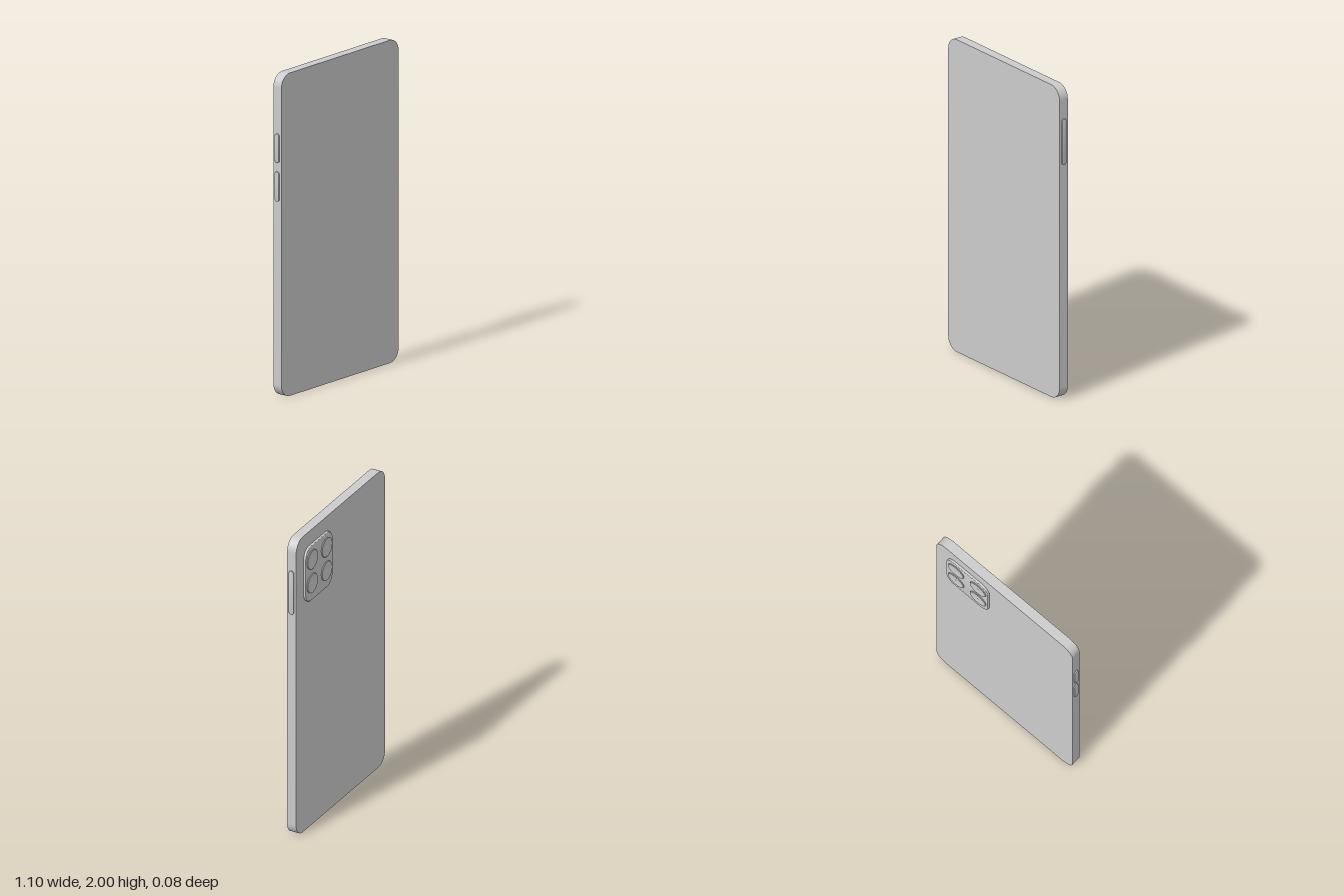
import * as THREE from 'three';
import { toCreasedNormals } from 'three/addons/utils/BufferGeometryUtils.js';

const material = new THREE.MeshStandardMaterial({ color: 0xcccccc });

function roundedRect(w, h, r) {
  const s = new THREE.Shape(), x = w / 2, y = h / 2;
  s.absarc(x - r, y - r, r, 0, Math.PI / 2);
  s.absarc(-x + r, y - r, r, Math.PI / 2, Math.PI);
  s.absarc(-x + r, -y + r, r, Math.PI, Math.PI * 1.5);
  s.absarc(x - r, -y + r, r, Math.PI * 1.5, Math.PI * 2);
  s.closePath();
  return s;
}

// Rounded slab of full size w x h x depth, starting at z = 0, with bevelled edges
function slab(name, w, h, r, depth, bevel = 0) {
  const geometry = new THREE.ExtrudeGeometry(roundedRect(w, h, r), {
    depth: depth - 2 * bevel,
    curveSegments: 12,
    bevelEnabled: bevel > 0,
    bevelThickness: bevel,
    bevelSize: bevel,
    bevelOffset: -bevel,
    bevelSegments: 3,
  });
  geometry.translate(0, 0, bevel);
  const mesh = new THREE.Mesh(toCreasedNormals(geometry, 0.6), material);
  mesh.name = name;
  return mesh;
}

export function createModel() {
  const phone = new THREE.Group();
  phone.name = 'phone';

  // Flat body with rounded corners
  const body = slab('body', 1.08, 2, 0.08, 0.062);
  body.position.set(0, 1, -0.021);
  phone.add(body);

  // Camera plate on the back
  const plate = slab('cameraPlate', 0.33, 0.37, 0.07, 0.019, 0.004);
  plate.position.set(0.285, 1.72, -0.035);
  phone.add(plate);

  // Four lenses: thin rim, shallow dish and a small central bead
  const dish = [[0.063, 0], [0.063, 0.005], [0.061, 0.0065], [0.057, 0.0065],
    [0.04, 0.004], [0.02, 0.0022], [0.008, 0.0018]];
  const bead = [[0.008, 0.0018], [0.006, 0.0035], [0.003, 0.0045], [0, 0.0048]];
  const lathe = (points) => toCreasedNormals(
    new THREE.LatheGeometry(points.map(([r, y]) => new THREE.Vector2(r, y)), 40), 0.6);
  const dishGeometry = lathe(dish), beadGeometry = lathe(bead);
  for (const x of [0.197, 0.372]) {
    for (const y of [1.65, 1.81]) {
      const lens = new THREE.Group();
      lens.name = 'cameraLens';
      const ring = new THREE.Mesh(dishGeometry, material);
      ring.name = 'lensDish';
      const centre = new THREE.Mesh(beadGeometry, material);
      centre.name = 'lensBead';
      lens.add(ring, centre);
      lens.rotation.x = -Math.PI / 2;
      lens.position.set(x, y, -0.0348);
      phone.add(lens);
    }
  }

  // Side buttons: [name, side, bottom, top]
  const buttons = [
    ['powerButton', 1, 1.505, 1.8],
    ['volumeUpButton', -1, 1.455, 1.635],
    ['volumeDownButton', -1, 1.215, 1.4],
  ];
  for (const [name, side, bottom, top] of buttons) {
    const button = slab(name, 0.032, top - bottom, 0.0155, 0.018, 0.002);
    button.rotation.y = side * Math.PI / 2;
    button.position.set(side * 0.53, (bottom + top) / 2, 0.01);
    phone.add(button);
  }
  return phone;
}
